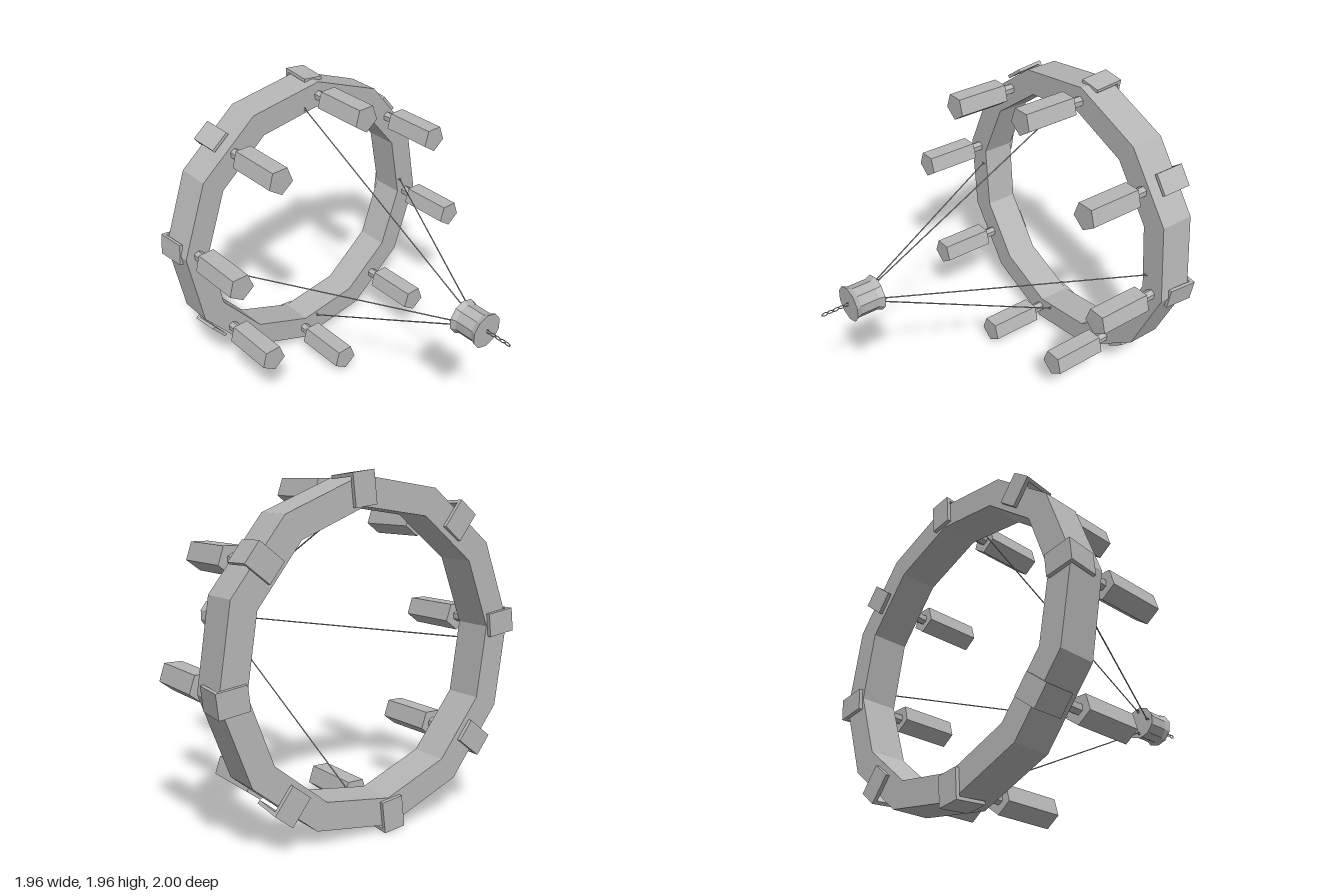
import * as THREE from 'three';

export function createModel() {
  const model = new THREE.Group();
  const CY = 0.98; // height of the ring axis
  const grey = new THREE.MeshStandardMaterial({ color: 0xb6b6b6, flatShading: true });
  grey.name = 'grey metal';

  const add = (name, geometry, parent = model) => {
    const mesh = new THREE.Mesh(geometry, grey);
    mesh.name = name;
    parent.add(mesh);
    return mesh;
  };

  // Points of a twelve-sided outline
  const outline = (radius) => Array.from({ length: 12 }, (_, i) => {
    const a = THREE.MathUtils.degToRad(23 + i * 30);
    return new THREE.Vector2(radius * Math.cos(a), radius * Math.sin(a));
  });

  // Prism along z between z0 and z1, with one corner pointing down
  const prism = (radius, z0, z1, sides) =>
    new THREE.CylinderGeometry(radius, radius, z1 - z0, sides)
      .rotateX(Math.PI / 2).translate(0, 0, (z0 + z1) / 2);

  // Thin round bar between two points
  const bar = (a, b, radius) => new THREE.TubeGeometry(new THREE.LineCurve3(a, b), 1, radius, 6);

  // Main ring
  const shape = new THREE.Shape(outline(0.957));
  shape.holes.push(new THREE.Path(outline(0.797)));
  add('ring', new THREE.ExtrudeGeometry(shape, { depth: 0.22, bevelEnabled: false })
    .translate(0, CY, -0.975));

  // Eight lamps, each with a stem and an angled bracket
  for (let i = 0; i < 8; i++) {
    const angle = THREE.MathUtils.degToRad(37.5 + i * 45);
    const lamp = new THREE.Group();
    lamp.name = 'lamp';
    lamp.position.set(0.869 * Math.cos(angle), CY + 0.869 * Math.sin(angle), 0);
    add('candle', prism(0.087, -0.66, -0.305, 5), lamp);
    add('stem', prism(0.033, -0.77, -0.65, 6), lamp);
    model.add(lamp);

    const bracket = new THREE.Group();
    bracket.name = 'bracket';
    bracket.position.y = CY;
    bracket.rotation.z = angle;
    // Outer plate leans outward towards the back
    const plate = new THREE.BoxGeometry(0.02, 0.135, 0.185);
    const p = plate.attributes.position;
    for (let j = 0; j < p.count; j++) p.setX(j, p.getX(j) - p.getZ(j) * 0.08);
    add('bracketOuterPlate', plate.translate(0.961, 0, -0.9075), bracket);
    add('bracketBackPlate', new THREE.BoxGeometry(0.165, 0.135, 0.022)
      .translate(0.883, 0, -0.989), bracket);
    model.add(bracket);
  }

  // Ten-sided waisted hub
  const profile = [[0, 0.64], [0.11, 0.64], [0.096, 0.672], [0.096, 0.793], [0.11, 0.825], [0, 0.825]]
    .map(([r, z]) => new THREE.Vector2(r, z));
  add('hub', new THREE.LatheGeometry(profile, 10).rotateX(Math.PI / 2).translate(0, CY, 0));

  // Four stays from the hub to the ring, with an eye at each end
  for (let i = 0; i < 4; i++) {
    const stay = new THREE.Group();
    stay.name = 'stay';
    stay.position.y = CY;
    stay.rotation.z = i * Math.PI / 2;
    const start = new THREE.Vector3(0.078, 0, 0.62);
    const end = new THREE.Vector3(0.805, 0, -0.745);
    add('stayRod', bar(start, end, 0.004), stay);
    for (const [point, dz] of [[start, 0.008], [end, -0.008]]) {
      add('stayEye', new THREE.TorusGeometry(0.01, 0.003, 5, 8).rotateX(Math.PI / 2)
        .translate(point.x, 0, point.z + dz), stay);
    }
    model.add(stay);
  }

  // Hanging chain of alternating links
  for (let i = 0; i < 5; i++) {
    const link = add('chainLink', new THREE.TorusGeometry(0.011, 0.003, 5, 10)
      .scale(1.7, 1, 1).rotateY(Math.PI / 2));
    link.position.set(0, CY, 0.836 + i * 0.0355);
    link.rotation.z = (i % 2) * Math.PI / 2;
  }

  return model;
}
